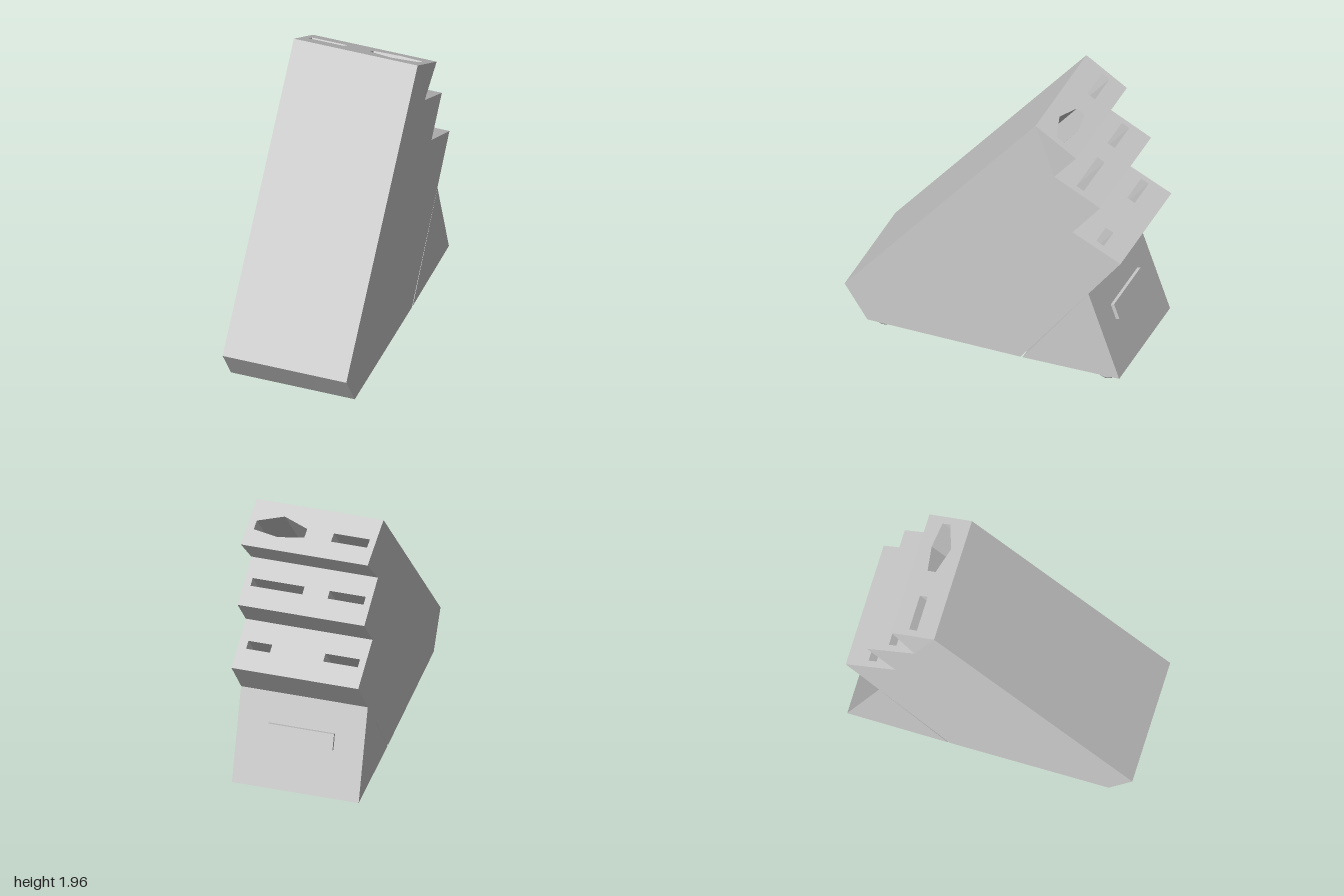
import * as THREE from 'three';

const X0 = -0.455, X1 = 0.425;          // right and left side planes
const DEPTH = [0.5, -0.61];             // slot direction and length (z, y)

// Side profiles as [z, y, sideways shift]
const BODY = [
  [1, 0.285, 0], [0.835, 0.035, 0], [-0.272, 0.035, 0], [-0.997, 0.995, 0],
  [-0.65, 1.16, 0], [-0.85, 1.412, 0], [-0.518, 1.58, 0], [-0.685, 1.79, 0.024], [-0.382, 1.96, 0],
];
const WEDGE = [[-0.287, 0.035, 0], [-0.987, 0.05, 0], [-0.765, 0.685, 0]];

// Slot outlines per tier: u is x, v runs from the inner (0) to the outer (1) edge
const slot = (a, b, v0 = 0.42, v1 = 0.58) => [[a, v0], [b, v0], [b, v1], [a, v1]];
const TIERS = {
  3: [slot(-0.41, -0.17), slot(0.2, 0.365)],
  5: [slot(-0.41, -0.16), slot(0.015, 0.375)],
  7: [
    slot(-0.41, -0.16, 0.45, 0.63),
    [[0.025, 0.45], [0.2, 0.27], [0.375, 0.45], [0.375, 0.64], [0.2, 0.72], [0.025, 0.64]],
  ],
};

const at = (x, [z, y, dx]) => [x + dx, y, z];

// Collects flat polygons (convex, counter-clockwise) into one geometry
function collector() {
  const pos = [];
  return {
    poly(...p) {
      for (let i = 1; i < p.length - 1; i++) pos.push(...p[0], ...p[i], ...p[i + 1]);
    },
    build() {
      const g = new THREE.BufferGeometry();
      g.setAttribute('position', new THREE.Float32BufferAttribute(pos, 3));
      g.computeVertexNormals();
      return g;
    },
  };
}

// Tier face with its slot openings, slot walls and floors
function addTier(c, outer, inner, slots) {
  const map = (u, v) => at(u, inner.map((k, i) => k + (outer[i] - k) * v));
  const deep = ([x, y, z]) => [x, y + DEPTH[1], z + DEPTH[0]];
  const vec = (pts) => pts.map((p) => new THREE.Vector2(...p));
  const shape = new THREE.Shape(vec(slot(X0, X1, 0, 1)));
  slots.forEach((s) => shape.holes.push(new THREE.Path(vec(s))));
  const g = new THREE.ShapeGeometry(shape).toNonIndexed();
  const p = g.attributes.position;
  for (let i = 0; i < p.count; i += 3) {
    c.poly(...[0, 1, 2].map((k) => map(p.getX(i + k), p.getY(i + k))));
  }
  for (const s of slots) {
    const top = s.map(([u, v]) => map(u, v));
    top.forEach((a, i) => {
      const b = top[(i + 1) % top.length];
      c.poly(a, b, deep(b), deep(a));
    });
    c.poly(...top.map(deep));
  }
}

// Solid between the two side planes; edges listed in tiers get slots
function prism(profile, tiers = {}) {
  const c = collector();
  profile.forEach((a, i) => {
    const b = profile[(i + 1) % profile.length];
    if (tiers[i]) addTier(c, a, b, tiers[i]);
    else c.poly(at(X1, a), at(X0, a), at(X0, b), at(X1, b));
  });
  const flat = profile.map(([z, y]) => new THREE.Vector2(z, y));
  for (const t of THREE.ShapeUtils.triangulateShape(flat, [])) {
    const [a, b, d] = t.map((k) => flat[k]);
    const ccw = (b.x - a.x) * (d.y - a.y) - (b.y - a.y) * (d.x - a.x) > 0;
    const left = (ccw ? [...t].reverse() : t).map((k) => profile[k]);
    c.poly(...left.map((q) => at(X1, q)));
    c.poly(...[...left].reverse().map((q) => at(X0, q)));
  }
  return c.build();
}

export function createModel() {
  const group = new THREE.Group();
  const material = new THREE.MeshStandardMaterial({ color: 0xcccccc });
  const add = (name, geometry) => {
    const mesh = new THREE.Mesh(geometry, material);
    mesh.name = name;
    group.add(mesh);
    return mesh;
  };

  add('steppedBlock', prism(BODY, TIERS));
  add('rearWedge', prism(WEDGE));

  // Thin plate lying on the sloping back of the wedge
  const plate = add('backPlate', new THREE.BoxGeometry(0.46, 0.115, 0.05));
  plate.position.set(-0.018, 0.425, -0.857);
  plate.rotation.x = Math.atan2(0.222, 0.635);

  // Rounded feet
  const foot = new THREE.LatheGeometry([
    [0, 0], [0.035, 0.002], [0.055, 0.008], [0.066, 0.02], [0.064, 0.032], [0.055, 0.042], [0, 0.045],
  ].map((p) => new THREE.Vector2(...p)), 24);
  for (const [z, y] of [[0.735, 0], [-0.878, 0.004]]) {
    for (const x of [-0.363, 0.345]) add('foot', foot).position.set(x, y, z);
  }
  return group;
}
